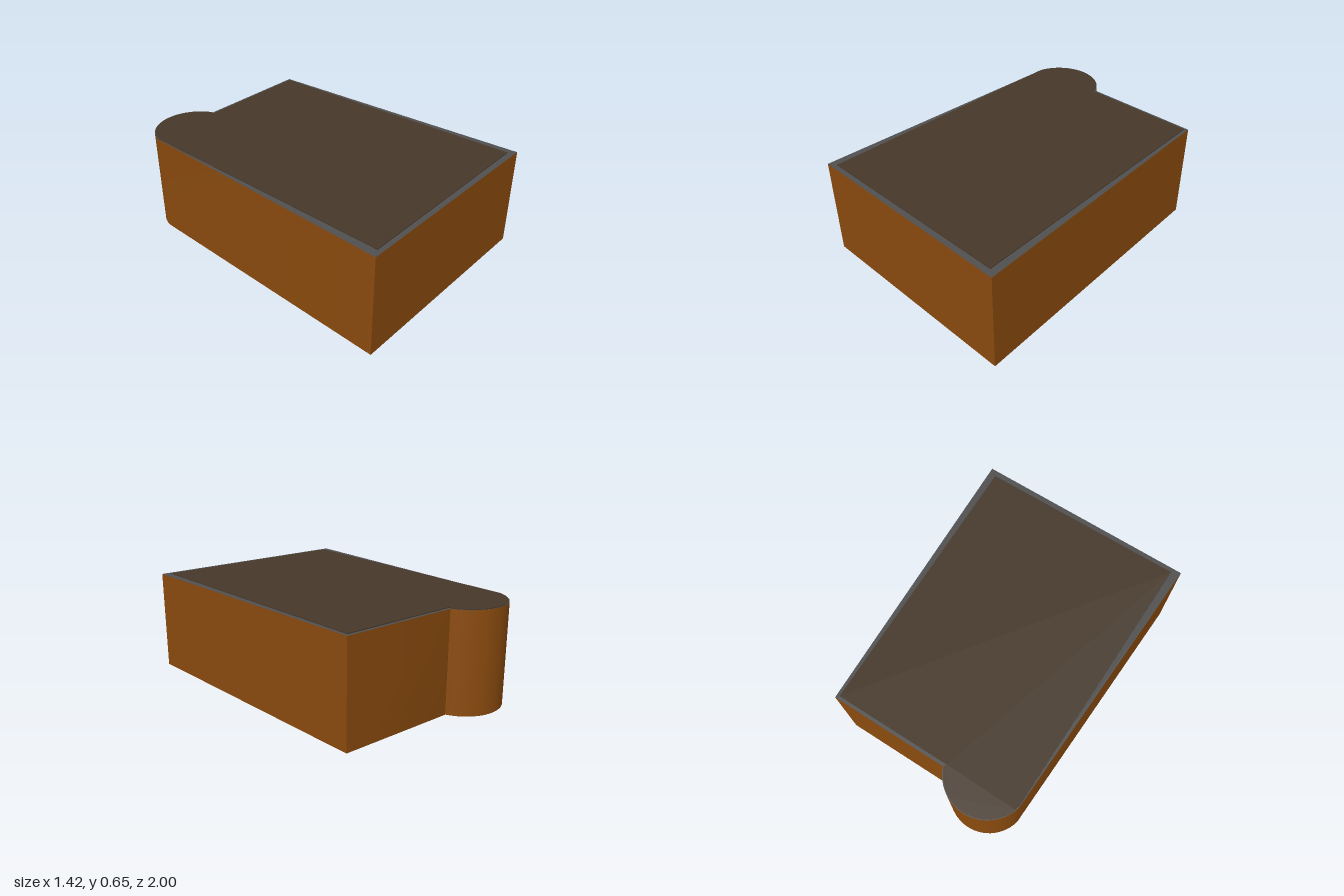
import * as THREE from 'three';
import { toCreasedNormals } from 'three/addons/utils/BufferGeometryUtils.js';

const HEIGHT = 0.65;
const mat = (color) => new THREE.MeshStandardMaterial({ color, side: THREE.DoubleSide });

// Plan outline as [x, z]: a tapering room whose back -x corner swells into a round bay
function outline(corners, radius, steps = 24) {
  const [cx, cz] = [-0.375, -0.74];
  const pts = corners.map(([x, z]) => new THREE.Vector2(x, z));
  const a0 = -0.39, a1 = -Math.PI + 0.24;
  for (let i = 0; i <= steps; i++) {
    const a = a0 + (a1 - a0) * i / steps;
    pts.push(new THREE.Vector2(cx + radius * Math.cos(a), cz + radius * Math.sin(a)));
  }
  return pts;
}

const toShape = (pts) => new THREE.Shape(pts.map((p) => new THREE.Vector2(p.x, -p.y)));

export function createModel() {
  const group = new THREE.Group();
  const brick = mat(0x8b4b0e), plaster = mat(0xcccccc), capGrey = mat(0x505050), wood = mat(0x46382a);

  const add = (name, geometry, material) => {
    const mesh = new THREE.Mesh(geometry, material);
    mesh.name = name;
    group.add(mesh);
    return mesh;
  };

  // Upright sheet following a closed plan outline
  const sheet = (name, pts, material) => {
    const pos = [];
    pts.forEach((p, i) => {
      const q = pts[(i + 1) % pts.length];
      pos.push(p.x, 0, p.y, q.x, 0, q.y, q.x, HEIGHT, q.y);
      pos.push(p.x, 0, p.y, q.x, HEIGHT, q.y, p.x, HEIGHT, p.y);
    });
    const geo = new THREE.BufferGeometry();
    geo.setAttribute('position', new THREE.Float32BufferAttribute(pos, 3));
    add(name, toCreasedNormals(geo, 0.4), material);
  };

  // Horizontal plate, with thickness when depth is given
  const plate = (name, shape, y, material, depth = 0) => {
    const geo = depth
      ? new THREE.ExtrudeGeometry(shape, { depth, bevelEnabled: false })
      : new THREE.ShapeGeometry(shape);
    add(name, geo.rotateX(-Math.PI / 2).translate(0, y, 0), material);
  };

  const outer = outline([[-0.715, 0.985], [0.71, 1], [0.635, -0.84], [-0.13, -0.84]], 0.26);
  const innerCorners = [[-0.66, 0.955], [0.66, 0.96], [0.615, -0.82], [-0.15, -0.82]];
  const inner = outline(innerCorners, 0.238);

  // Wall faces, open at the bottom, closed by a cap on top
  sheet('outerWall', outer, brick);
  sheet('innerWall', inner, plaster);
  const ring = toShape(outer);
  ring.holes.push(new THREE.Path(inner.map((p) => new THREE.Vector2(p.x, -p.y))));
  plate('wallCap', ring, HEIGHT, capGrey);

  // Ceiling reaches the rim of the bay
  plate('ceiling', toShape(outline(innerCorners, 0.255)), HEIGHT, wood, 0.005);

  // Floors of the main room and of the small front room
  const main = [[0.06, 0.957], ...innerCorners.slice(1, 3)].map(([x, z]) => new THREE.Vector2(x, z));
  main.push(...inner.slice(3));
  main.push(new THREE.Vector2(-0.632, 0.212), new THREE.Vector2(0.06, 0.212));
  plate('mainFloor', toShape(main), 0, wood);
  const small = [[-0.66, 0.955], [0.045, 0.957], [0.045, 0.222], [-0.632, 0.222]];
  plate('smallRoomFloor', toShape(small.map(([x, z]) => new THREE.Vector2(x, z))), 0, wood);

  // Partitions around the small room
  add('sidePartition', new THREE.BoxGeometry(0.015, HEIGHT, 0.745), plaster).position.set(0.0525, HEIGHT / 2, 0.5845);
  add('backPartition', new THREE.BoxGeometry(0.69, HEIGHT, 0.01), plaster).position.set(-0.287, HEIGHT / 2, 0.217);

  return group;
}
